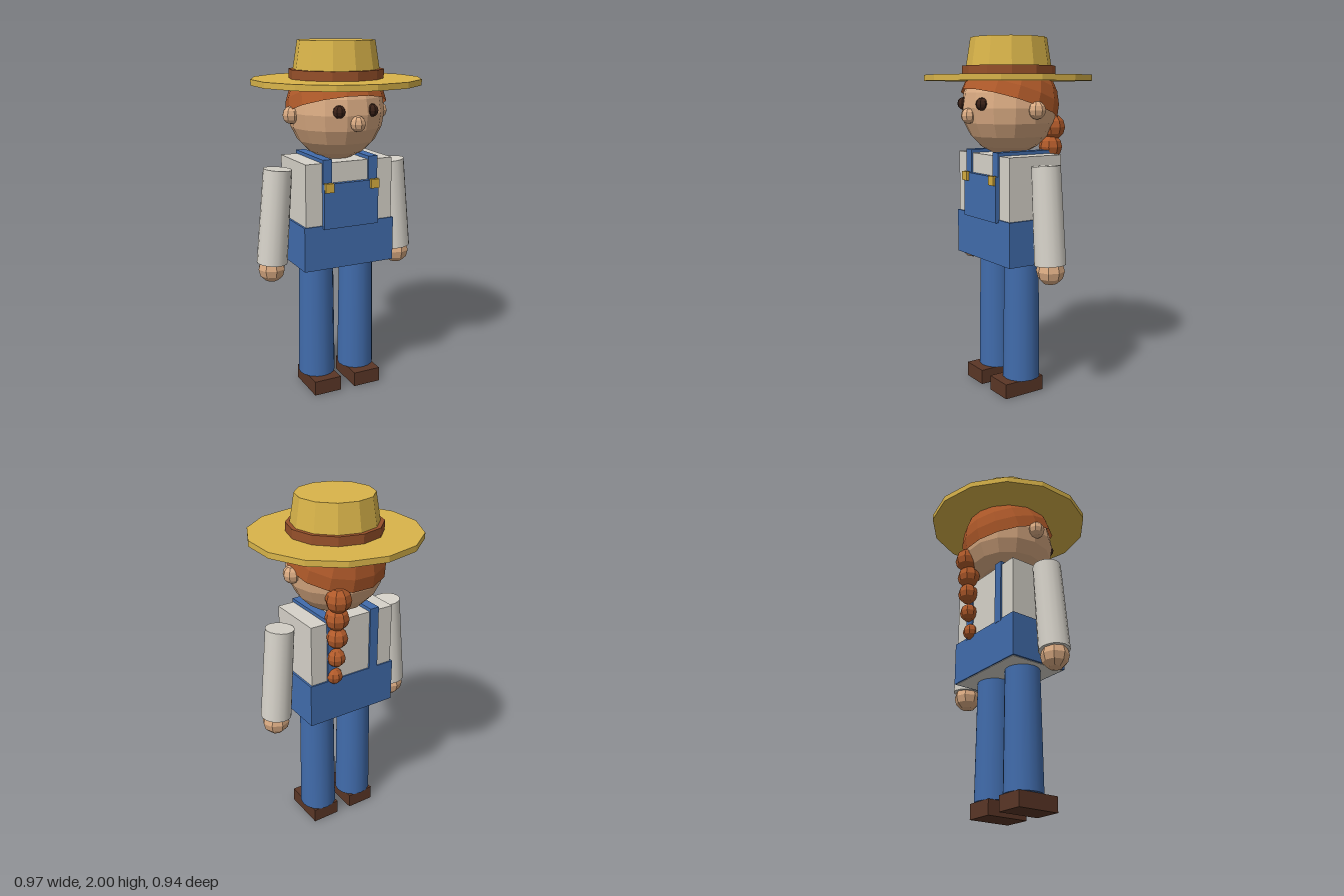
import * as THREE from 'three';

const mat = (name, color, flat = true) => {
  const m = new THREE.MeshStandardMaterial({ color, flatShading: flat });
  m.name = name;
  return m;
};

export function createModel() {
  const root = new THREE.Group();
  root.name = 'farmer';

  const straw = mat('straw', 0xd9b44a);
  const bandColor = mat('hatBand', 0x96502a);
  const hairColor = mat('hair', 0xb05a2a);
  const skin = mat('skin', 0xd9aa82);
  const dark = mat('eyeBrown', 0x3b2218);
  const denim = mat('denim', 0x416cac, false);
  const shirt = mat('shirt', 0xd6d2c9, false);
  const leather = mat('leather', 0x5a3626);
  const brass = mat('brass', 0xd6ad3f);
  hairColor.side = THREE.DoubleSide;

  const add = (name, geo, material, x, y, z) => {
    const m = new THREE.Mesh(geo, material);
    m.name = name;
    m.position.set(x, y, z);
    root.add(m);
    return m;
  };
  const box = (name, material, w, h, d, x, y, z) =>
    add(name, new THREE.BoxGeometry(w, h, d), material, x, y, z);
  const ball = (name, material, r, x, y, z, ws = 8, hs = 6) =>
    add(name, new THREE.SphereGeometry(r, ws, hs), material, x, y, z);
  const disc = (name, material, rTop, rBottom, y0, y1, sides) =>
    add(name, new THREE.CylinderGeometry(rTop, rBottom, y1 - y0, sides), material, 0, (y0 + y1) / 2, 0);

  // Torso and overalls
  box('shirtTorso', shirt, 0.525, 0.598, 0.34, 0, 1.067, 0);
  box('overallsHips', denim, 0.548, 0.25, 0.356, 0, 0.896, 0);
  box('bib', denim, 0.33, 0.25, 0.03, 0, 1.13, 0.182);

  // Head and face
  ball('head', skin, 0.267, 0, 1.62, 0, 14, 10);
  ball('nose', skin, 0.043, 0, 1.578, 0.262);
  const hair = add('hairCap',
    new THREE.SphereGeometry(0.28, 14, 6, 0, Math.PI * 2, 0, Math.PI / 2), hairColor, 0, 1.635, 0);
  hair.rotation.x = -0.32;

  // Braid: [radius, y, z] of each bead, over the left shoulder blade
  [[0.072, 1.51, -0.215], [0.067, 1.4, -0.202], [0.06, 1.287, -0.203], [0.052, 1.165, -0.195], [0.046, 1.047, -0.178]]
    .forEach(([r, y, z], i) => ball('braidBead' + (i + 1), hairColor, r, 0.122, y, z));

  // Hat
  disc('hatBrim', straw, 0.468, 0.468, 1.765, 1.797, 14);
  disc('hatBand', bandColor, 0.26, 0.26, 1.795, 1.847, 12);
  disc('hatCrown', straw, 0.212, 0.246, 1.79, 2.0, 12);

  // Mirrored parts
  for (const [side, s] of [['left', 1], ['right', -1]]) {
    const n = (part) => side + part;

    ball(n('Ear'), skin, 0.049, s * 0.268, 1.61, 0);
    ball(n('Eye'), dark, 0.035, s * 0.097, 1.642, 0.236);

    // Straps run up the front, over the shoulder and down the back
    box(n('StrapFront'), denim, 0.055, 0.18, 0.014, s * 0.138, 1.295, 0.173);
    box(n('StrapTop'), denim, 0.055, 0.025, 0.36, s * 0.138, 1.3725, 0);
    box(n('StrapBack'), denim, 0.055, 0.375, 0.014, s * 0.138, 1.1975, -0.173);
    box(n('Button'), brass, 0.05, 0.05, 0.022, s * 0.138, 1.235, 0.201);

    // Sleeve runs from the shoulder out to the wrist
    const top = new THREE.Vector3(s * 0.352, 1.322, 0);
    const wrist = new THREE.Vector3(s * 0.397, 0.795, 0);
    const axis = top.clone().sub(wrist);
    const mid = top.clone().add(wrist).multiplyScalar(0.5);
    const sleeve = add(n('Sleeve'), new THREE.CylinderGeometry(0.079, 0.086, axis.length(), 16),
      shirt, mid.x, mid.y, 0);
    sleeve.quaternion.setFromUnitVectors(new THREE.Vector3(0, 1, 0), axis.normalize());
    ball(n('Hand'), skin, 0.078, s * 0.4, 0.763, 0);

    // Leg and shoe
    add(n('Leg'), new THREE.CylinderGeometry(0.098, 0.107, 0.72, 16), denim, s * 0.128, 0.445, 0);
    box(n('Shoe'), leather, 0.165, 0.085, 0.254, s * 0.128, 0.0425, 0.032);
  }
  return root;
}
